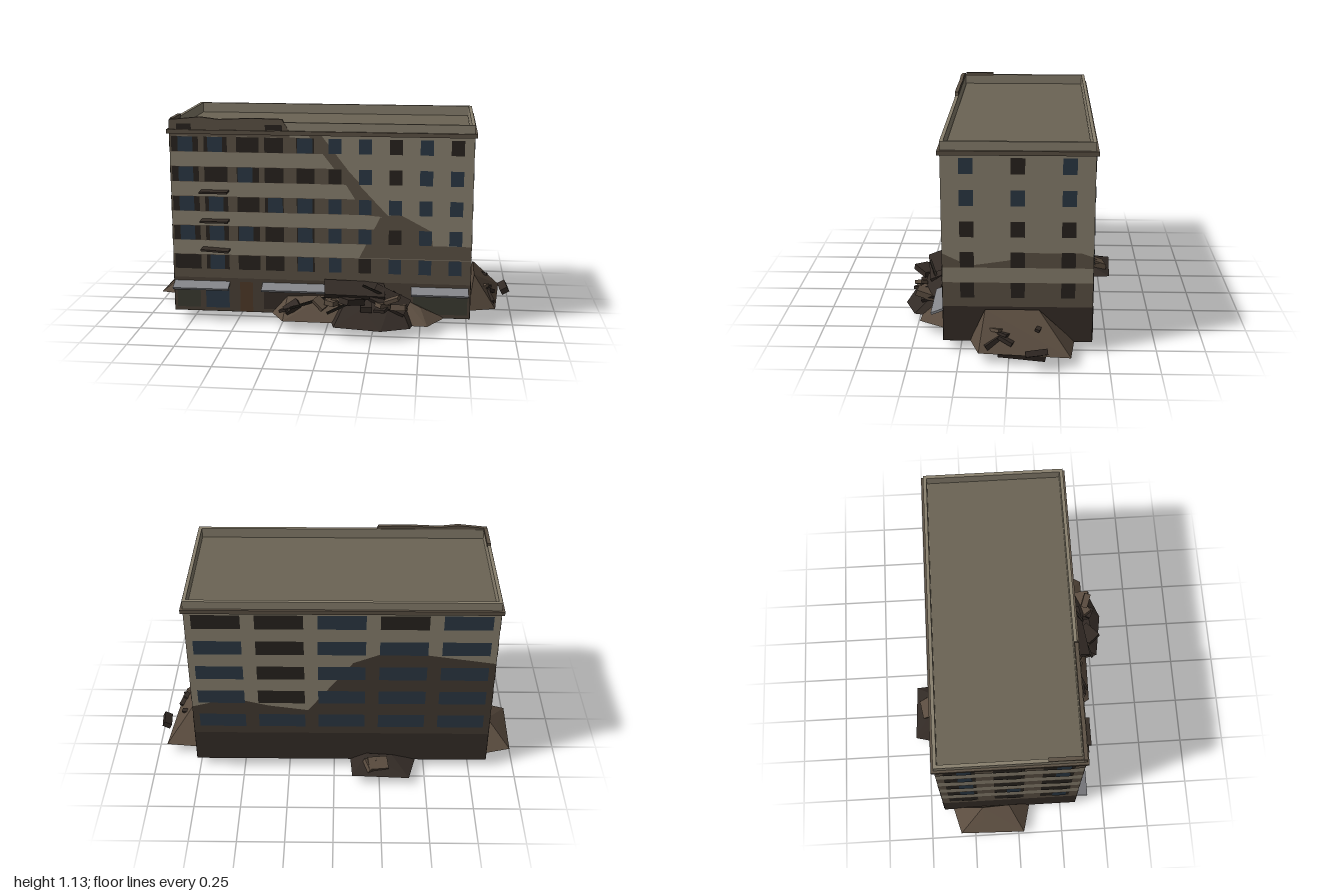
import * as THREE from 'three';
import { ConvexGeometry } from 'three/addons/geometries/ConvexGeometry.js';

const C = { wall: 0x8a816f, roof: 0x6b6454, scorch: 0x5c5144, soot: 0x352d27, dark: 0x28231e,
  glass: 0x2b3844, awning: 0x85868a, wood: 0x4f3928, rubble: 0x5a4c3f, char: 0x322a25 };
const X0 = -0.845, X1 = 0.765, Z0 = -0.42, Z1 = 0.335, CX = -0.04, CZ = -0.0425;
const ROWS = [0.33, 0.492, 0.653, 0.815, 0.977];

const mats = {};
const mat = (c) => (mats[c] ??= new THREE.MeshStandardMaterial({
  color: c, roughness: 0.9, flatShading: true, side: THREE.DoubleSide }));

let seed = 7;
const rnd = () => (seed = (seed * 16807) % 2147483647) / 2147483647;

function add(parent, name, geo, color, pos = [0, 0, 0], rot = [0, 0, 0]) {
  const m = new THREE.Mesh(geo, mat(color));
  m.name = name;
  m.position.set(...pos);
  m.rotation.set(...rot);
  parent.add(m);
  return m;
}
const box = (p, name, size, color, pos, rot) => add(p, name, new THREE.BoxGeometry(...size), color, pos, rot);

// Flat facade pieces, stacked by layer just off the wall
function rect(p, name, x0, x1, y0, y1, layer, color) {
  return add(p, name, new THREE.PlaneGeometry(x1 - x0, y1 - y0), color, [(x0 + x1) / 2, (y0 + y1) / 2, layer * 0.0015]);
}
function patch(p, name, pts, layer, color) {
  const s = new THREE.Shape(pts.map(([x, y]) => new THREE.Vector2(x, y)));
  return add(p, name, new THREE.ShapeGeometry(s), color, [0, 0, layer * 0.0015]);
}
function win(p, x, y, w, h, broken) {
  rect(p, 'window', x - w / 2, x + w / 2, y - h / 2, y + h / 2, 3, broken ? C.dark : C.glass);
}

// Rectangular ring running round the building
function ring(p, name, out, inn, y, h, color) {
  const hw = (X1 - X0) / 2, hd = (Z1 - Z0) / 2;
  const loop = (o) => [[-1, -1], [1, -1], [1, 1], [-1, 1]].map(([a, b]) => new THREE.Vector2(a * (hw + o), b * (hd + o)));
  const s = new THREE.Shape(loop(out));
  s.holes.push(new THREE.Path(loop(-inn).reverse()));
  const g = new THREE.ExtrudeGeometry(s, { depth: h, bevelEnabled: false });
  add(p, name, g.rotateX(-Math.PI / 2), color, [CX, y, CZ]);
}

function facade(root, name, x, z, turn) {
  const g = new THREE.Group();
  g.name = name;
  g.position.set(x, 0, z);
  g.rotation.y = turn;
  root.add(g);
  return g;
}

function mound(p, name, pts, color) {
  add(p, name, new ConvexGeometry(pts.map((q) => new THREE.Vector3(...q))), color);
}

// Broken slabs and blocks scattered in a rectangle
function scatter(p, n, x0, x1, z0, z1, y0, y1) {
  for (let i = 0; i < n; i++) {
    const s = 0.04 + rnd() * 0.07;
    box(p, 'brokenSlab', [s, 0.012 + rnd() * 0.02, s * (0.4 + rnd() * 0.5)], rnd() < 0.6 ? C.char : C.rubble,
      [x0 + rnd() * (x1 - x0), y0 + rnd() * (y1 - y0), z0 + rnd() * (z1 - z0)],
      [rnd() - 0.5, rnd() * 3, rnd() - 0.5]);
  }
}

export function createModel() {
  const root = new THREE.Group();
  root.name = 'ruinedApartmentBlock';

  // Main volume, roof edge
  box(root, 'building', [X1 - X0, 0.99, Z1 - Z0], C.wall, [CX, 0.545, CZ]);
  rect(root, 'roof', X0 + 0.02, X1 - 0.02, Z0 + 0.02, Z1 - 0.02, 0, C.roof).rotation.x = -Math.PI / 2;
  root.getObjectByName('roof').position.set(CX, 1.043, CZ);
  ring(root, 'parapet', 0, 0.018, 1.035, 0.063, C.wall);
  ring(root, 'cornice', 0.013, 0, 1.032, 0.022, C.scorch);
  rect(root, 'underside', X0, X1, Z0, Z1, 0, C.dark).rotation.x = Math.PI / 2;
  root.getObjectByName('underside').position.set(CX, 0.049, CZ);

  // Front: sooty window rows, ten windows each
  const front = facade(root, 'frontFacade', 0, Z1, 0);
  const ends = [X1, 0.36, 0.22, 0.14, 0.0];
  ROWS.forEach((y, r) => {
    const b = r ? y - 0.042 : 0.24, t = y + 0.042, e = ends[r];
    patch(front, 'sootyRow', [[X0, b], [r ? e + 0.04 : e, b], [r ? e - 0.04 : e, t], [X0, t]], 1, C.scorch);
    for (const [x0, x1] of [[-0.835, -0.53], [-0.485, -0.235], [-0.165, -0.07]])
      rect(front, 'burntOpening', x0, x1, y - 0.04, y + 0.04, 2, C.dark);
    for (const x of [-0.675, -0.52, -0.35, -0.2])
      rect(front, 'pier', x - 0.015, x + 0.015, y - 0.042, y + 0.042, 2.5, C.scorch);
    for (let i = 0; i < 10; i++) win(front, -0.76 + i * 0.16, y, i < 5 ? 0.08 : 0.068, 0.08, rnd() < 0.35);
  });
  patch(front, 'sootPatch', [[0.17, 0.375], [0.28, 0.6], [0.38, 0.62], [0.55, 0.53], [0.56, 0.45], [X1, 0.45], [X1, 0.375]], 1.5, C.scorch);
  patch(front, 'sootStreak', [[-0.1, 1.03], [-0.03, 1.03], [0.17, 0.77], [0.33, 0.6], [0.2, 0.61], [0.08, 0.8]], 1.2, C.scorch);
  rect(front, 'sootyTop', X0, -0.2, 1.02, 1.032, 1, C.scorch);

  // Street level: shopfronts, door
  rect(front, 'shopWall', X0, X1, 0.05, 0.24, 1, 0x4b4137);
  for (const [x0, x1, c] of [[-0.83, -0.7, 0x3a3a30], [-0.67, -0.54, C.glass], [-0.35, -0.02, C.soot], [0.0, 0.4, C.soot], [0.46, 0.75, 0x3a3a30]])
    rect(front, 'shopWindow', x0, x1, 0.07, 0.18, 2, c);
  rect(front, 'door', -0.48, -0.41, 0.05, 0.22, 2, C.wood);

  // Awnings slope outward and down
  for (const [x0, x1] of [[-0.84, -0.535], [-0.355, 0.28], [0.45, 0.755]])
    box(root, 'awning', [x1 - x0, 0.012, 0.068], C.awning, [(x0 + x1) / 2, 0.203, Z1 + 0.03], [0.38, 0, 0]);

  // Balcony slabs, the lowest one sagging
  [0.725, 0.565, 0.405].forEach((y, i) =>
    box(root, 'balconySlab', [0.15, 0.01, 0.062], C.soot, [-0.605, y, Z1 + 0.031], [0, 0, i === 2 ? -0.06 : 0]));

  // Right side: three small windows per row, soot bands
  const right = facade(root, 'rightFacade', X1, 0, Math.PI / 2);
  rect(right, 'sootyBase', -Z1, -Z0, 0.05, 0.24, 1, C.soot);
  rect(right, 'scorchedWall', -Z1, -Z0, 0.24, 0.37, 1, C.scorch);
  patch(right, 'sootPatch', [[-Z1, 0.45], [-Z0, 0.45], [-Z0, 0.51], [0.36, 0.53], [0.08, 0.53], [0, 0.49], [-0.2, 0.46], [-Z1, 0.525]], 1, C.scorch);
  ROWS.forEach((y, r) => [-0.21, 0.043, 0.295].forEach((u, i) =>
    win(right, u, y, 0.07, 0.082, r < 3 || (r === 4 && i === 1))));

  // Left side: wider burnt openings
  const left = facade(root, 'leftFacade', X0, 0, -Math.PI / 2);
  rect(left, 'sootyBase', Z0, Z1, 0.05, 0.24, 1, C.soot);
  ROWS.forEach((y, r) => {
    rect(left, 'scorchedRow', Z0, Z1, r ? y - 0.042 : 0.24, y + 0.042, 1, C.scorch);
    [-0.295, -0.043, 0.21].forEach((u) => {
      rect(left, 'burntOpening', u - 0.085, u + 0.075, y - 0.04, y + 0.04, 2, C.dark);
      win(left, u + 0.02, y, 0.075, 0.08, rnd() < 0.4);
    });
  });

  // Back: five wide windows per row, high soot line
  const back = facade(root, 'backFacade', 0, Z0, Math.PI);
  patch(back, 'sootPatch', [[-X1, 0.05], [-X0, 0.05], [-X0, 0.72], [0.5, 0.77], [0.3, 0.8], [0.1, 0.72], [-0.14, 0.4], [-0.35, 0.43], [-0.55, 0.48], [-X1, 0.42]], 1, 0x443a31);
  rect(back, 'sootyBase', -X1, -X0, 0.05, 0.24, 2, C.soot);
  ROWS.forEach((y, r) => {
    for (let i = 0; i < 5; i++) win(back, -CX + (i - 2) * 0.322, y, 0.25, 0.085, (i === 1 && r > 0) || rnd() < 0.12);
  });

  // Shattered parapet at the front left corner
  const broken = new THREE.Shape([[X0, 1.03], [-0.19, 1.03], [-0.24, 1.115], [-0.4, 1.118], [-0.58, 1.11], [-0.68, 1.122], [X0, 1.105]]
    .map(([x, y]) => new THREE.Vector2(x, y)));
  add(root, 'brokenParapet', new THREE.ExtrudeGeometry(broken, { depth: 0.02, bevelEnabled: false }), C.scorch, [0, 0, Z1 - 0.016]);
  for (const [x, w] of [[-0.765, 0.08], [-0.285, 0.09]])
    rect(front, 'parapetGap', x - w / 2, x + w / 2, 1.055, 1.085, 4, C.dark);
  box(root, 'parapetChunk', [0.02, 0.02, 0.17], C.scorch, [-0.835, 1.1, 0.23]);

  // Rubble against each side
  const rubble = new THREE.Group();
  rubble.name = 'rubble';
  root.add(rubble);
  mound(rubble, 'frontLeftMound', [[-0.31, 0.05, 0.33], [-0.23, 0.05, 0.47], [0.08, 0.05, 0.475], [0.1, 0.05, 0.33], [-0.22, 0.15, 0.335], [0.05, 0.16, 0.34], [-0.1, 0.12, 0.41]], C.rubble);
  mound(rubble, 'frontMound', [[0, 0.05, 0.33], [0.05, 0.05, 0.54], [0.3, 0.05, 0.58], [0.45, 0.05, 0.52], [0.5, 0.05, 0.33], [0.12, 0.18, 0.345], [0.36, 0.2, 0.35], [0.2, 0.13, 0.45]], C.char);
  mound(rubble, 'frontRightMound', [[0.35, 0.05, 0.33], [0.42, 0.05, 0.475], [0.54, 0.05, 0.48], [0.63, 0.05, 0.33], [0.42, 0.15, 0.34], [0.5, 0.12, 0.37]], C.rubble);
  mound(rubble, 'leftMound', [[-0.84, 0.05, -0.37], [-0.99, 0.05, -0.33], [-1, 0.05, 0.03], [-0.84, 0.05, 0.07], [-0.87, 0.165, -0.2], [-0.86, 0.15, -0.05], [-0.93, 0.11, -0.2]], C.rubble);
  mound(rubble, 'rightMound', [[0.76, 0.05, -0.33], [0.95, 0.05, -0.31], [0.91, 0.05, 0.15], [0.76, 0.05, 0.2], [0.79, 0.235, 0.12], [0.79, 0.235, -0.15], [0.84, 0.15, -0.12]], C.rubble);
  mound(rubble, 'backMound', [[-0.45, 0.05, -0.42], [-0.41, 0.05, -0.575], [-0.1, 0.05, -0.56], [-0.09, 0.05, -0.42], [-0.32, 0.09, -0.43], [-0.18, 0.1, -0.43]], C.char);
  scatter(rubble, 14, 0.05, 0.42, 0.38, 0.5, 0.13, 0.2);
  scatter(rubble, 6, -0.2, 0.05, 0.36, 0.43, 0.1, 0.16);
  scatter(rubble, 5, 0.8, 0.88, -0.2, 0.1, 0.09, 0.17);
  scatter(rubble, 4, -0.34, -0.2, -0.54, -0.47, 0.06, 0.095);

  // Larger fallen slabs and beams
  box(rubble, 'fallenSlab', [0.32, 0.025, 0.13], C.char, [0.15, 0.215, 0.4], [0.35, 0.1, -0.1]);
  box(rubble, 'fallenSlab', [0.2, 0.02, 0.12], C.char, [0.34, 0.17, 0.42], [0.45, -0.3, -0.3]);
  box(rubble, 'fallenSlab', [0.16, 0.03, 0.24], C.char, [0.82, 0.038, -0.06], [-0.15, 0.1, -0.12]);
  box(rubble, 'fallenBlock', [0.045, 0.03, 0.11], C.char, [0.969, 0.085, -0.14], [0.1, 0.1, 0.5]);
  for (const [x, y, z, r] of [[0.28, 0.21, 0.42, -0.5], [0.1, 0.15, 0.47, 0.35], [-0.1, 0.14, 0.42, 0.2]])
    box(rubble, 'beam', [0.2, 0.012, 0.012], C.dark, [x, y, z], [0, 0.4, r]);
  return root;
}
